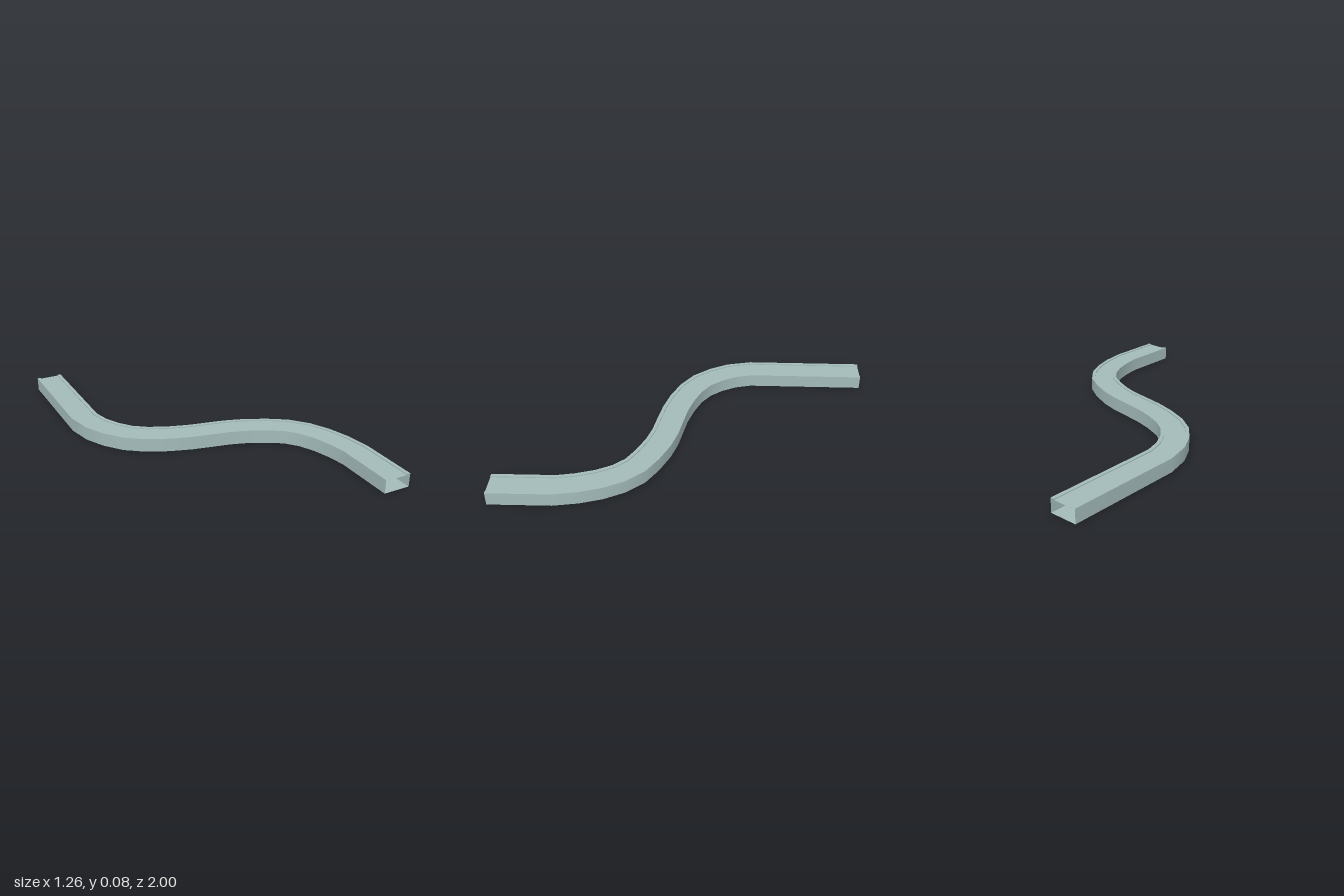
import * as THREE from 'three';

// Centre line of the S-bend as [x, z], from the back end to the front end
const PATH = [
  [-0.561, -1], [-0.56, -0.345], [-0.533, -0.23], [-0.485, -0.135], [-0.42, -0.052],
  [-0.335, 0.01], [-0.23, 0.058], [-0.12, 0.093], [0, 0.118], [0.09, 0.136],
  [0.19, 0.168], [0.295, 0.218], [0.385, 0.275], [0.452, 0.353], [0.5, 0.448],
  [0.533, 0.555], [0.553, 0.67], [0.556, 1],
];
const HALF = 0.074, TOP = 0.075, RIM = 0.02, RECESS = 0.07;

// One station per path point: position and mitred sideways direction
function stations() {
  const pts = PATH.map(([x, z]) => new THREE.Vector2(x, z));
  const dir = (i) => pts[i + 1].clone().sub(pts[i]).normalize();
  const last = pts.length - 1;
  return pts.map((p, i) => {
    const a = dir(Math.max(i - 1, 0)), b = dir(Math.min(i, last - 1));
    // the straight ends stay parallel to z
    const t = i <= 1 || i >= last - 1 ? new THREE.Vector2(0, 1) : a.add(b).normalize();
    return { p, side: new THREE.Vector2(t.y, -t.x) };
  });
}

// Sweep one edge of the profile along the path: smooth lengthwise, sharp across
function sweepStrip(line, [u0, y0], [u1, y1]) {
  const pos = [], index = [];
  line.forEach(({ p, side }, i) => {
    pos.push(p.x + side.x * u0, y0, p.y + side.y * u0);
    pos.push(p.x + side.x * u1, y1, p.y + side.y * u1);
    if (i > 0) {
      const a = 2 * (i - 1);
      index.push(a, a + 1, a + 2, a + 1, a + 3, a + 2);
    }
  });
  const g = new THREE.BufferGeometry();
  g.setAttribute('position', new THREE.Float32BufferAttribute(pos, 3));
  g.setIndex(index);
  g.computeVertexNormals();
  return g;
}

export function createModel() {
  const group = new THREE.Group();
  group.name = 'curvedDuct';
  const metal = new THREE.MeshStandardMaterial({ color: 0xa3bbba, side: THREE.DoubleSide });
  metal.name = 'paleGreyGreen';

  // Hollow box profile, open at both ends, with a shallow recess between two rims
  const inner = HALF - RIM;
  const profile = [
    [-HALF, 0], [HALF, 0], [HALF, TOP], [inner, TOP],
    [inner, RECESS], [-inner, RECESS], [-inner, TOP], [-HALF, TOP],
  ];
  const names = ['floor', 'leftWall', 'leftRim', 'leftRimStep', 'topPanel',
    'rightRimStep', 'rightRim', 'rightWall'];
  const line = stations();
  profile.forEach((a, i) => {
    const b = profile[(i + 1) % profile.length];
    const mesh = new THREE.Mesh(sweepStrip(line, a, b), metal);
    mesh.name = names[i];
    group.add(mesh);
  });
  return group;
}
